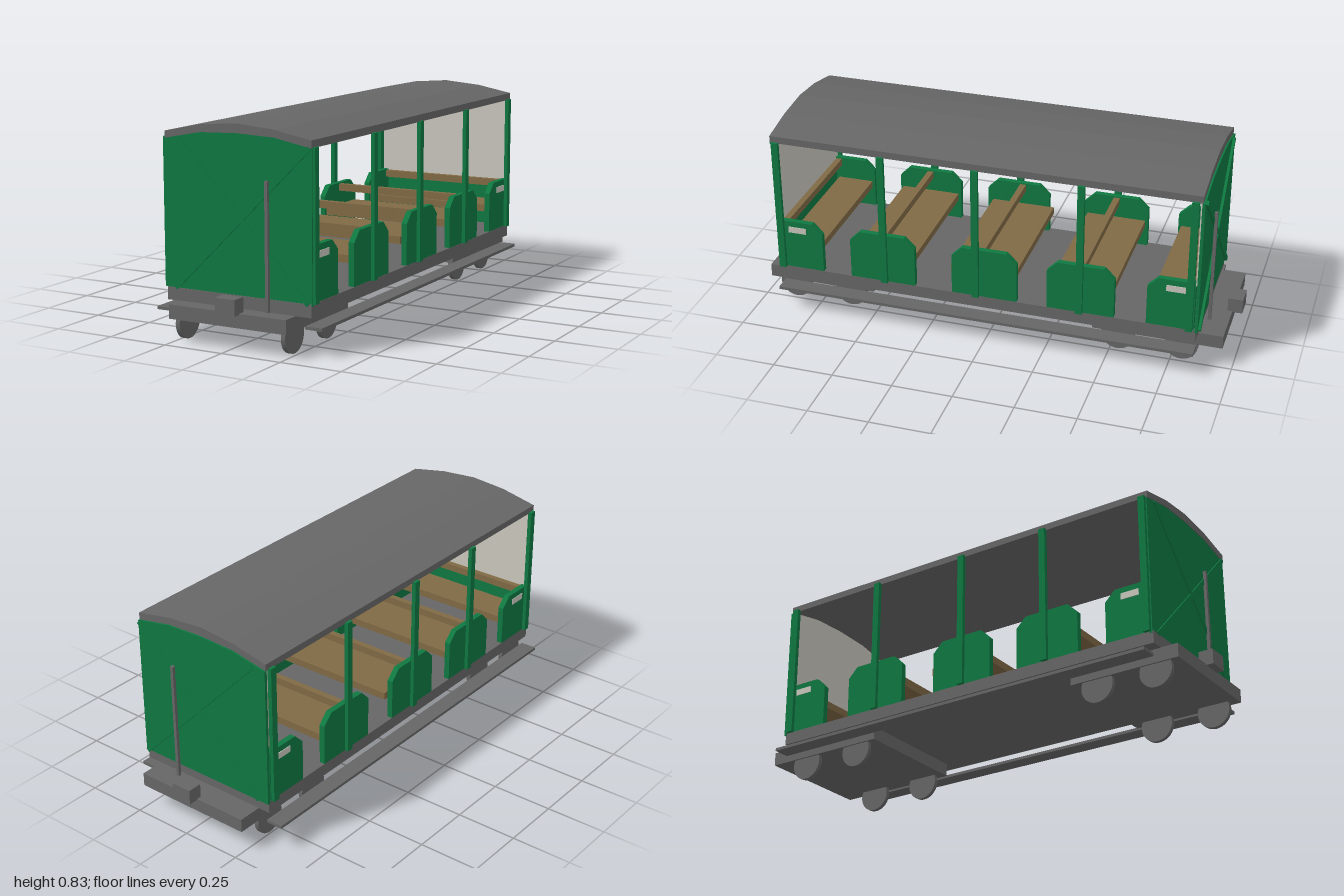
import * as THREE from 'three';

const mat = (name, color, side = THREE.FrontSide) => {
  const m = new THREE.MeshStandardMaterial({ color, side });
  m.name = name;
  return m;
};

export function createModel() {
  const grey = mat('grey metal', 0x666666);
  const green = mat('green paint', 0x0f7841);
  const wood = mat('wood', 0x806a45);
  const cream = mat('cream', 0xc8c6bc);
  const root = new THREE.Group();
  root.name = 'openTramTrailer';

  const add = (name, geometry, material, parent = root) => {
    const m = new THREE.Mesh(geometry, material);
    m.name = name;
    parent.add(m);
    return m;
  };
  // Box given by its limits on each axis
  const box = (name, material, [x0, x1], [y0, y1], [z0, z1], parent = root) => {
    const m = add(name, new THREE.BoxGeometry(x1 - x0, y1 - y0, z1 - z0), material, parent);
    m.position.set((x0 + x1) / 2, (y0 + y1) / 2, (z0 + z1) / 2);
    return m;
  };
  const prism = (points, depth) => new THREE.ExtrudeGeometry(
    new THREE.Shape(points.map(([x, y]) => new THREE.Vector2(x, y))),
    { depth, bevelEnabled: false });

  // Floor, side steps
  box('floor', grey, [-0.302, 0.322], [0.148, 0.198], [-0.86, 0.9]);
  box('rightStep', grey, [-0.36, -0.29], [0.101, 0.113], [-0.86, 0.89]);
  box('leftStep', grey, [0.29, 0.36], [0.101, 0.113], [-0.86, 0.89]);

  // Bogies, couplers and wheels
  const bogies = [
    { name: 'front', z: [0.51, 0.97], coupler: [0.94, 1], axles: [0.87, 0.62] },
    { name: 'rear', z: [-0.96, -0.43], coupler: [-1, -0.94], axles: [-0.53, -0.79] },
  ];
  for (const b of bogies) {
    box(b.name + 'Bogie', grey, [-0.25, 0.257], [0.094, 0.149], b.z);
    box(b.name + 'Coupler', grey, [-0.027, 0.059], [0.145, 0.206], b.coupler);
    for (const z of b.axles) for (const x of [-0.234, 0.225]) {
      const w = add(b.name + 'Wheel', new THREE.CylinderGeometry(0.068, 0.068, 0.018, 32), grey);
      w.rotation.z = Math.PI / 2;
      w.position.set(x, 0.068, z);
    }
  }

  // Faceted arched roof
  const ceiling = [[-0.304, 0.762], [-0.146, 0.793], [0.01, 0.799], [0.17, 0.793], [0.325, 0.764]];
  const crown = [[0.325, 0.793], [0.17, 0.822], [0.01, 0.835], [-0.146, 0.822], [-0.304, 0.789]];
  add('roof', prism([...ceiling, ...crown], 1.76), grey).position.z = -0.86;

  // End walls with cream upper lining, cross braces and a pole
  const arch = ceiling.slice().reverse();
  const ends = [
    { name: 'front', wall: 0.885, lining: 0.88, brace: 0.897, pole: [0.899, 0.912] },
    { name: 'rear', wall: -0.867, lining: -0.855, brace: -0.872, pole: [-0.889, -0.876] },
  ];
  for (const e of ends) {
    add(e.name + 'Wall', prism([[-0.304, 0.19], [0.325, 0.19], ...arch], 0.012), green)
      .position.z = e.wall;
    add(e.name + 'Lining', prism([[-0.3, 0.4], [0.321, 0.4], ...arch], 0.005), cream)
      .position.z = e.lining;
    for (const [x0, y0, x1, y1] of [[-0.25, 0.768, 0.31, 0.194], [-0.265, 0.198, 0.315, 0.764]]) {
      const brace = add(e.name + 'Brace', new THREE.BoxGeometry(
        Math.hypot(x1 - x0, y1 - y0), 0.018, 0.012), green);
      brace.position.set((x0 + x1) / 2, (y0 + y1) / 2, e.brace);
      brace.rotation.z = Math.atan2(y1 - y0, x1 - x0);
    }
    box(e.name + 'Pole', grey, [0.135, 0.148], [0.149, 0.635], e.pole);
  }

  // Posts along both sides
  for (const z of [0.878, 0.43, 0.04, -0.39, -0.832]) {
    box('rightPost', green, [-0.317, -0.3], [0.197, 0.767], [z - 0.014, z + 0.014]);
    box('leftPost', green, [0.32, 0.336], [0.197, 0.767], [z - 0.014, z + 0.014]);
  }

  // Chamfered bench side panel in the z-y plane, from z0 to z1
  const panel = (x, z0, z1, cut0, cut1, parent) => {
    const c = 0.043, top = 0.41;
    const pts = [[-z0, 0.197]];
    pts.push(...(cut0 ? [[-z0, top - c], [-z0 - c, top]] : [[-z0, top]]));
    pts.push(...(cut1 ? [[-z1 + c, top], [-z1, top - c]] : [[-z1, top]]));
    pts.push([-z1, 0.197]);
    const m = add('benchSide', prism(pts, 0.024), green, parent);
    m.rotation.y = Math.PI / 2;
    m.position.x = x;
  };

  // Benches: single at each end, double between
  const benches = [
    { z: [0.7, 0.88], cut: [true, false], back: 0.865 },
    { z: [0.3, 0.577], cut: [true, true], back: 0.438 },
    { z: [-0.13, 0.142], cut: [true, true], back: 0.02, shift: 0.033 },
    { z: [-0.53, -0.255], cut: [true, true], back: -0.392 },
    { z: [-0.85, -0.66], cut: [false, true], back: -0.838 },
  ];
  for (const { z: [z0, z1], cut, back, shift = 0 } of benches) {
    const bench = new THREE.Group();
    bench.name = 'bench';
    root.add(bench);
    panel(0.297, z0, z1, ...cut, bench);
    panel(-0.302, z0 + shift, z1 + shift, ...cut, bench);
    const lo = z0 + 0.012, hi = z1 - 0.012 + shift * 0.7;
    box('seat', wood, [-0.278, 0.297], [0.3, 0.315], [lo, hi], bench);
    if (cut[0]) box('seatEdge', wood, [-0.278, 0.297], [0.285, 0.3], [lo, lo + 0.02], bench);
    if (cut[1]) box('seatEdge', wood, [-0.278, 0.297], [0.285, 0.3], [hi - 0.02, hi], bench);
    box('backRail', wood, [-0.278, 0.297], [0.375, 0.405], [back - 0.013, back + 0.013], bench);
  }

  // Blank plates on the end bench sides
  for (const z of [[0.77, 0.846], [-0.812, -0.735]]) {
    box('leftPlate', cream, [0.32, 0.324], [0.36, 0.386], z);
    box('rightPlate', cream, [-0.305, -0.301], [0.36, 0.386], z);
  }
  return root;
}
